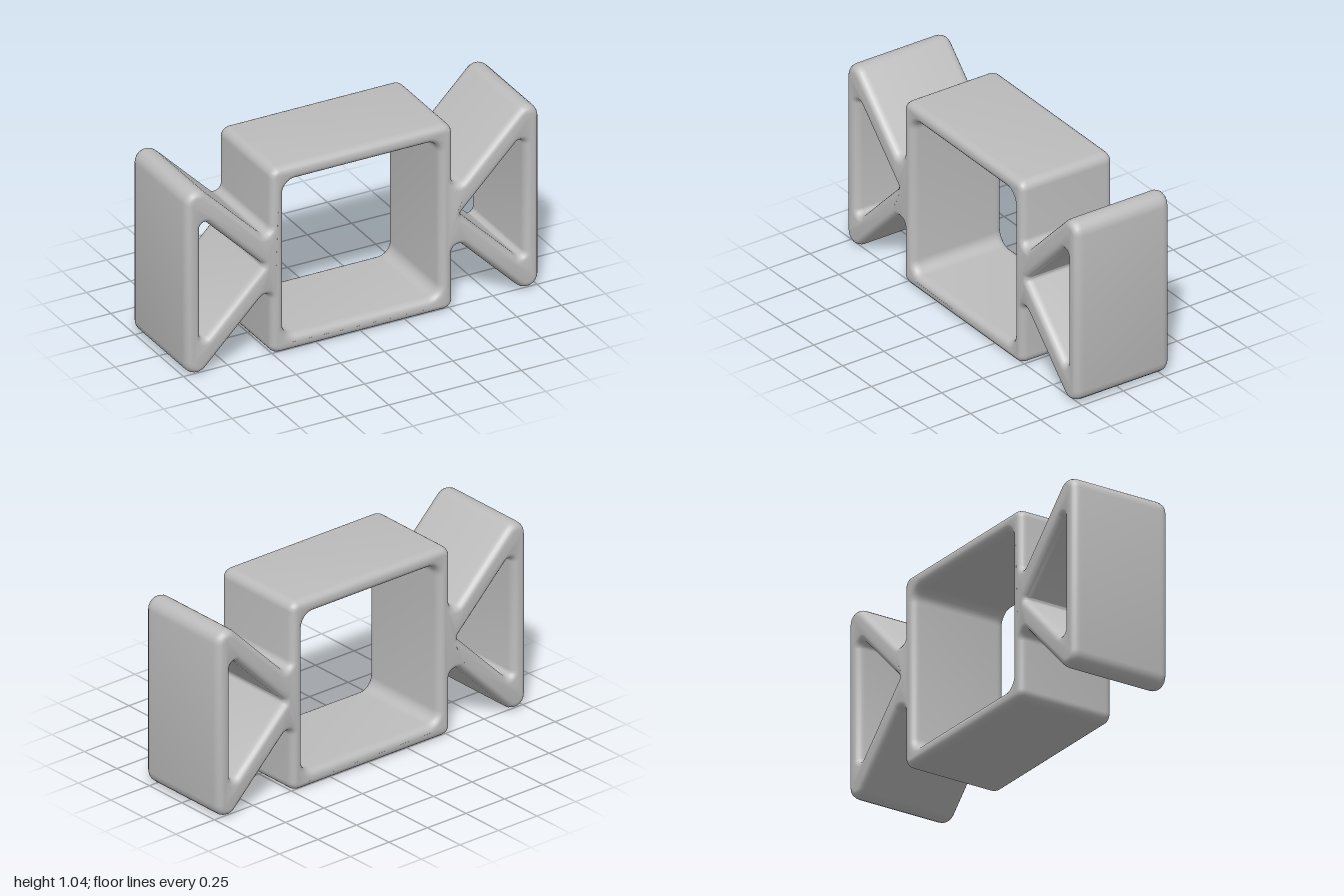
import * as THREE from 'three';
import { toCreasedNormals } from 'three/addons/utils/BufferGeometryUtils.js';

// Samples a closed polygon of [x, y, radius] corners with every corner filleted
function rounded(corners, steps = 7) {
  const points = [];
  corners.forEach(([x, y, r], i) => {
    const n = corners.length;
    const p = new THREE.Vector2(x, y);
    const u = new THREE.Vector2(...corners[(i + n - 1) % n]).sub(p).normalize();
    const v = new THREE.Vector2(...corners[(i + 1) % n]).sub(p).normalize();
    const half = Math.acos(u.dot(v)) / 2;
    const center = u.clone().add(v).normalize().multiplyScalar(r / Math.sin(half)).add(p);
    const reach = r / Math.tan(half);
    const start = p.clone().addScaledVector(u, reach).sub(center).angle();
    const end = p.clone().addScaledVector(v, reach).sub(center).angle();
    const sweep = Math.atan2(Math.sin(end - start), Math.cos(end - start));
    for (let k = 0; k <= steps; k++) {
      const a = start + (sweep * k) / steps;
      points.push(new THREE.Vector2(center.x + r * Math.cos(a), center.y + r * Math.sin(a)));
    }
  });
  return points;
}

const flip = (corners, sx, sy) => corners.map(([x, y, r]) => [x * sx, y * sy, r]);

export function createModel() {
  const group = new THREE.Group();
  group.name = 'candyShapedFrame';
  const grey = new THREE.MeshStandardMaterial({ color: 0xbcbcbc });
  grey.name = 'grey';

  // One quadrant of the silhouette: wing tip, crook beside the frame, frame corner
  const quadrant = [[1, 0.607, 0.067], [0.515, 0.122, 0.035], [0.515, 0.521, 0.05]];
  const outline = [
    ...quadrant,
    ...flip(quadrant, -1, 1).reverse(),
    ...flip(quadrant, -1, -1),
    ...flip(quadrant, 1, -1).reverse(),
  ];
  const shape = new THREE.Shape(rounded(outline));

  // Square opening and the two triangular wing openings
  const square = [[0.44, 0.437, 0.065], [-0.44, 0.437, 0.065], [-0.44, -0.437, 0.065], [0.44, -0.437, 0.065]];
  const triangle = [[0.555, 0, 0.02], [0.915, -0.36, 0.025], [0.915, 0.36, 0.025]];
  for (const hole of [square, triangle, flip(triangle, -1, 1).reverse()]) {
    shape.holes.push(new THREE.Path(rounded(hole)));
  }

  // Extrude with soft rims front and back
  const halfDepth = 0.275, rim = 0.045, inset = 0.034;
  const geometry = new THREE.ExtrudeGeometry(shape, {
    depth: 2 * (halfDepth - rim),
    bevelThickness: rim,
    bevelSize: inset,
    bevelOffset: -inset,
    bevelSegments: 5,
  });
  geometry.translate(0, 0.523, -(halfDepth - rim));

  // The wings are slightly deeper than the square frame
  const pos = geometry.attributes.position;
  for (let i = 0; i < pos.count; i++) {
    const swell = THREE.MathUtils.smoothstep(Math.abs(pos.getX(i)), 0.47, 0.57);
    pos.setZ(i, pos.getZ(i) * (1 + 0.035 * swell));
  }

  const body = new THREE.Mesh(toCreasedNormals(geometry, 0.6), grey);
  body.name = 'squareFrameWithWings';
  group.add(body);
  return group;
}
